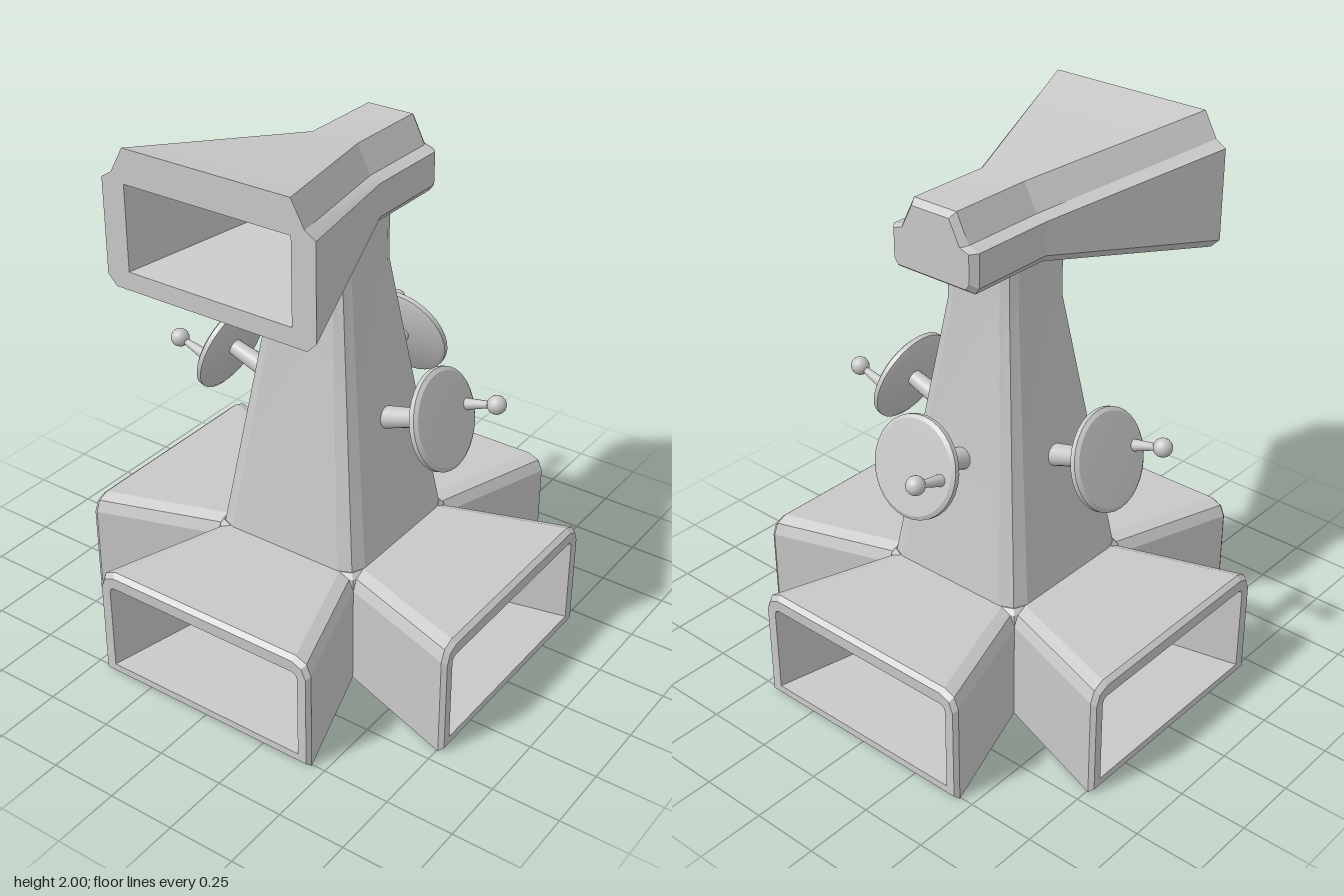
import * as THREE from 'three';
import { toCreasedNormals } from 'three/addons/utils/BufferGeometryUtils.js';

const grey = new THREE.MeshStandardMaterial({ color: 0xc8c8c8 });
grey.name = 'light grey';

function add(parent, name, geometry) {
  const mesh = new THREE.Mesh(geometry, grey);
  mesh.name = name;
  parent.add(mesh);
  return mesh;
}

// Skin a run of { z, pts } rings, each counter-clockwise seen from +z.
function loft(rings, capStart = false, capEnd = false) {
  const out = [];
  const put = (z, p) => out.push(p[0], p[1], z);
  const n = rings[0].pts.length;
  for (let i = 0; i < rings.length - 1; i++) {
    const a = rings[i], b = rings[i + 1];
    for (let j = 0; j < n; j++) {
      const k = (j + 1) % n;
      put(a.z, a.pts[j]); put(a.z, a.pts[k]); put(b.z, b.pts[k]);
      put(a.z, a.pts[j]); put(b.z, b.pts[k]); put(b.z, b.pts[j]);
    }
  }
  const cap = (ring, flip) => {
    const mid = [0, 1].map(c => ring.pts.reduce((s, p) => s + p[c], 0) / n);
    for (let j = 0; j < n; j++) {
      const k = (j + 1) % n;
      put(ring.z, mid);
      put(ring.z, ring.pts[flip ? k : j]);
      put(ring.z, ring.pts[flip ? j : k]);
    }
  };
  if (capStart) cap(rings[0], true);
  if (capEnd) cap(rings[rings.length - 1], false);
  const g = new THREE.BufferGeometry();
  g.setAttribute('position', new THREE.Float32BufferAttribute(out, 3));
  return toCreasedNormals(g, 0.3);
}

// Mirror the right half of an outline (listed bottom to top) to close it.
const mirrored = half => [...half, ...half.slice().reverse().map(([x, y]) => [-x, y])];

// Tunnel outline: square at the bottom, rounded top corners.
const tunnel = (z, w, y0, y1, c) => ({
  z, pts: mirrored([[w, y0], [w, y1 - c], [w - 0.3 * c, y1 - 0.3 * c], [w - c, y1]]),
});

// Square outline with rounded corners.
function roundedSquare(z, w, c) {
  const half = [[w - c, -w], [w - 0.3 * c, -w + 0.3 * c], [w, -w + c],
    [w, w - c], [w - 0.3 * c, w - 0.3 * c], [w - c, w]];
  return { z, pts: mirrored(half) };
}

// Head outline at scale steps between the rear block and the mouth.
const rearHalf = [[0.165, 1.63], [0.183, 1.655], [0.183, 1.775], [0.14, 1.79], [0.09, 1.89]];
const mouthHalf = [[0.375, 1.515], [0.41, 1.55], [0.41, 1.885], [0.37, 1.91], [0.32, 2.0]];
const rectangle = (z, w, y0, y1) => ({ z, pts: mirrored([[w, y0], [w, y1]]) });

function createDish() {
  // Built along +y, with the origin at the dish centre.
  const dish = new THREE.Group();
  dish.name = 'dish';
  const stem = add(dish, 'dishStem', new THREE.CylinderGeometry(0.029, 0.042, 0.28, 16));
  stem.position.y = -0.14;
  const profile = [[0, -0.018], [0.165, -0.018], [0.18, -0.01], [0.18, 0.008], [0.166, 0.017], [0, 0.022]]
    .map(p => new THREE.Vector2(...p));
  add(dish, 'dishPlate', toCreasedNormals(new THREE.LatheGeometry(profile, 32), 0.5));
  const rod = add(dish, 'antennaRod', new THREE.CylinderGeometry(0.009, 0.022, 0.13, 12));
  rod.position.set(0, 0.075, -0.125);
  const ball = add(dish, 'antennaBall', new THREE.SphereGeometry(0.034, 16, 12));
  ball.position.set(0, 0.14, -0.125);
  return dish;
}

export function createModel() {
  const model = new THREE.Group();
  model.name = 'hornTower';

  // Four flared, hollow arms around the base
  const armGeometry = loft([
    tunnel(0.3, 0.3, 0, 0.44, 0.06),
    tunnel(0.755, 0.45, 0, 0.44, 0.06),
    tunnel(0.773, 0.44, 0.015, 0.425, 0.055),
    tunnel(0.771, 0.405, 0.04, 0.38, 0.02),
    tunnel(0.28, 0.28, 0.055, 0.37, 0.02),
  ]);
  for (let i = 0; i < 4; i++) {
    add(model, 'baseArm', armGeometry).rotation.y = i * Math.PI / 2;
  }

  // Floor and ceiling where the tunnels cross
  add(model, 'baseFloor', new THREE.BoxGeometry(0.6, 0.055, 0.6)).position.y = 0.0275;
  add(model, 'baseCeiling', loft([
    roundedSquare(0.37, 0.3, 0.001), roundedSquare(0.38, 0.3, 0.001),
    roundedSquare(0.422, 0.3, 0.02), roundedSquare(0.44, 0.3, 0.06),
  ], true, true).rotateX(-Math.PI / 2));

  // Tapered tower and straight neck
  add(model, 'tower', loft([
    roundedSquare(0.43, 0.302, 0.07),
    roundedSquare(1.45, 0.15, 0.045),
    roundedSquare(1.68, 0.15, 0.045),
  ]).rotateX(-Math.PI / 2));

  // Head: bevelled rear block flaring into a horn
  const bevelled = rearHalf.map(([x, y]) => [x * 0.88, 1.76 + (y - 1.76) * 0.86]);
  add(model, 'head', loft([
    { z: -0.36, pts: mirrored(bevelled) },
    { z: -0.335, pts: mirrored(rearHalf) },
    { z: -0.01, pts: mirrored(rearHalf) },
    { z: 0.66, pts: mirrored(mouthHalf) },
  ], true));

  // Flat rim around the mouth
  const toVectors = pts => pts.map(p => new THREE.Vector2(...p));
  const mouth = rectangle(0.66, 0.32, 1.58, 1.88);
  const rim = new THREE.Shape(toVectors(mirrored(mouthHalf)));
  rim.holes.push(new THREE.Path(toVectors(mouth.pts)));
  add(model, 'hornRim', new THREE.ShapeGeometry(rim)).position.z = 0.66;

  // Inside of the horn, narrowing to a closed throat
  add(model, 'hornInside', loft([
    mouth, rectangle(0, 0.1, 1.66, 1.77), rectangle(-0.25, 0.1, 1.66, 1.77),
  ], false, true));

  // Dishes on both sides and the back
  [0, Math.PI / 2, Math.PI].forEach((angle, i) => {
    const mount = new THREE.Group();
    mount.name = ['leftDish', 'backDish', 'rightDish'][i];
    const dish = createDish();
    dish.position.set(0.455, 0.985, 0);
    dish.rotation.z = -Math.PI / 2 + 0.3;
    mount.add(dish);
    mount.rotation.y = angle;
    model.add(mount);
  });

  return model;
}
